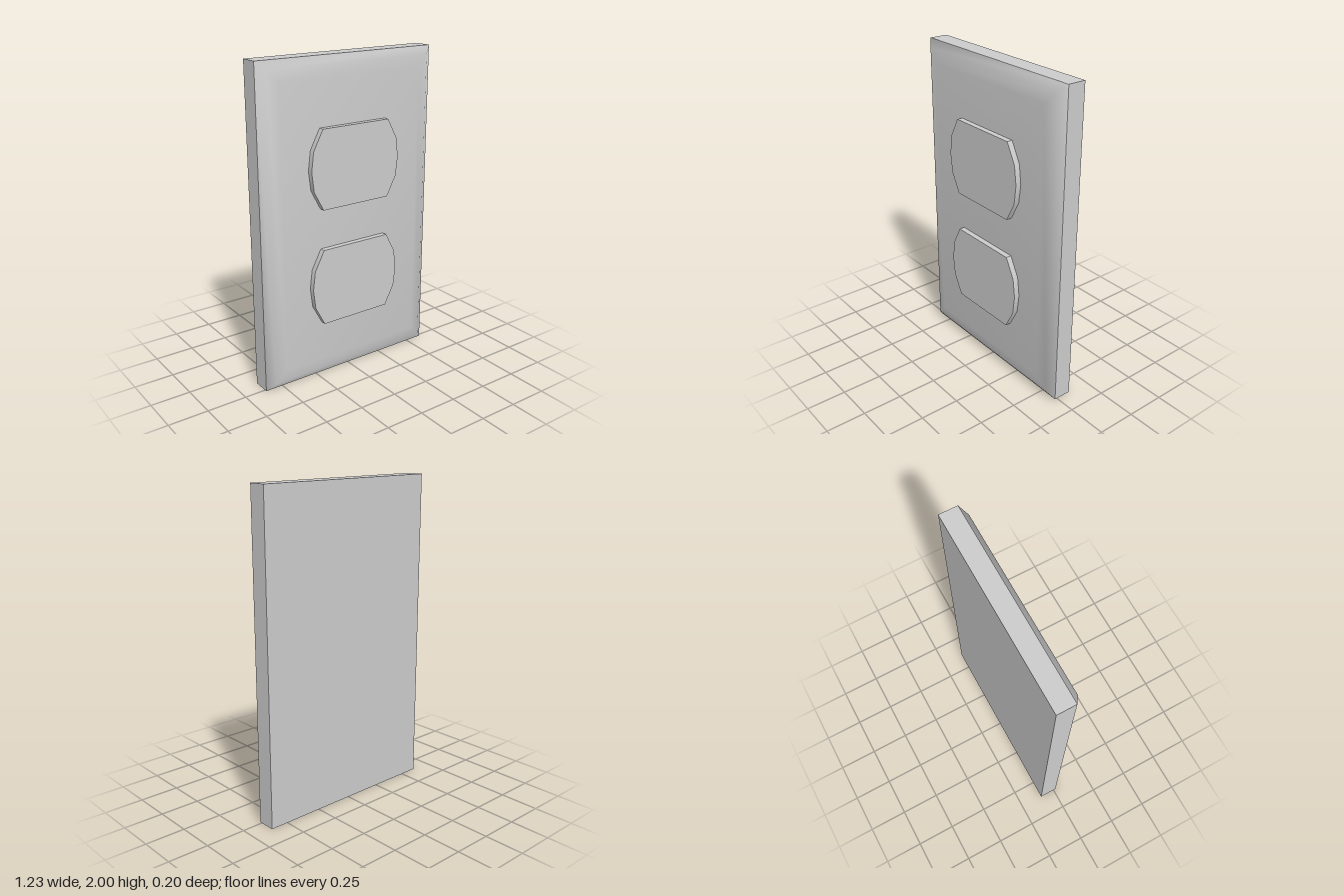
import * as THREE from 'three';
import { toCreasedNormals } from 'three/addons/utils/BufferGeometryUtils.js';

const HALF_W = 0.615, HALF_H = 1;

// Rectangular plate lofted through [inset, z] sections, back to front, capped at both ends
function loftPlate(sections) {
  const positions = [], index = [];
  for (const [inset, z] of sections) {
    const w = HALF_W - inset, h = HALF_H - inset;
    positions.push(-w, -h, z, w, -h, z, w, h, z, -w, h, z);
  }
  for (let s = 0; s < sections.length - 1; s++) {
    for (let i = 0; i < 4; i++) {
      const a = s * 4 + i, b = s * 4 + (i + 1) % 4;
      index.push(a, b, b + 4, a, b + 4, a + 4);
    }
  }
  const f = (sections.length - 1) * 4;
  index.push(0, 2, 1, 0, 3, 2, f, f + 1, f + 2, f, f + 2, f + 3);
  const geometry = new THREE.BufferGeometry();
  geometry.setAttribute('position', new THREE.Float32BufferAttribute(positions, 3));
  geometry.setIndex(index);
  return toCreasedNormals(geometry, 0.9);
}

// Flat top and bottom with faceted, bulging sides
function outletGeometry() {
  const right = [[0.235, -0.242], [0.3, -0.12], [0.315, 0], [0.3, 0.12], [0.235, 0.242]];
  const left = right.map(([x, y]) => [-x, y]).reverse();
  const shape = new THREE.Shape([...right, ...left].map(([x, y]) => new THREE.Vector2(x, y)));
  const geometry = new THREE.ExtrudeGeometry(shape, { depth: 0.04, bevelEnabled: false });
  return toCreasedNormals(geometry, 0.6);
}

export function createModel() {
  const group = new THREE.Group();
  group.name = 'outletCover';
  const material = new THREE.MeshStandardMaterial({ color: 0xcccccc });

  // Wall plate with a softly bevelled front
  const plate = new THREE.Mesh(
    loftPlate([[0, -0.1], [0, 0.015], [0.05, 0.052], [0.125, 0.065]]), material);
  plate.name = 'wallPlate';
  plate.position.y = HALF_H;
  group.add(plate);

  // Two raised outlet faces
  const geometry = outletGeometry();
  for (const [name, y] of [['upperOutlet', 1.357], ['lowerOutlet', 0.622]]) {
    const outlet = new THREE.Mesh(geometry, material);
    outlet.name = name;
    outlet.position.set(0, y, 0.06);
    group.add(outlet);
  }
  return group;
}
